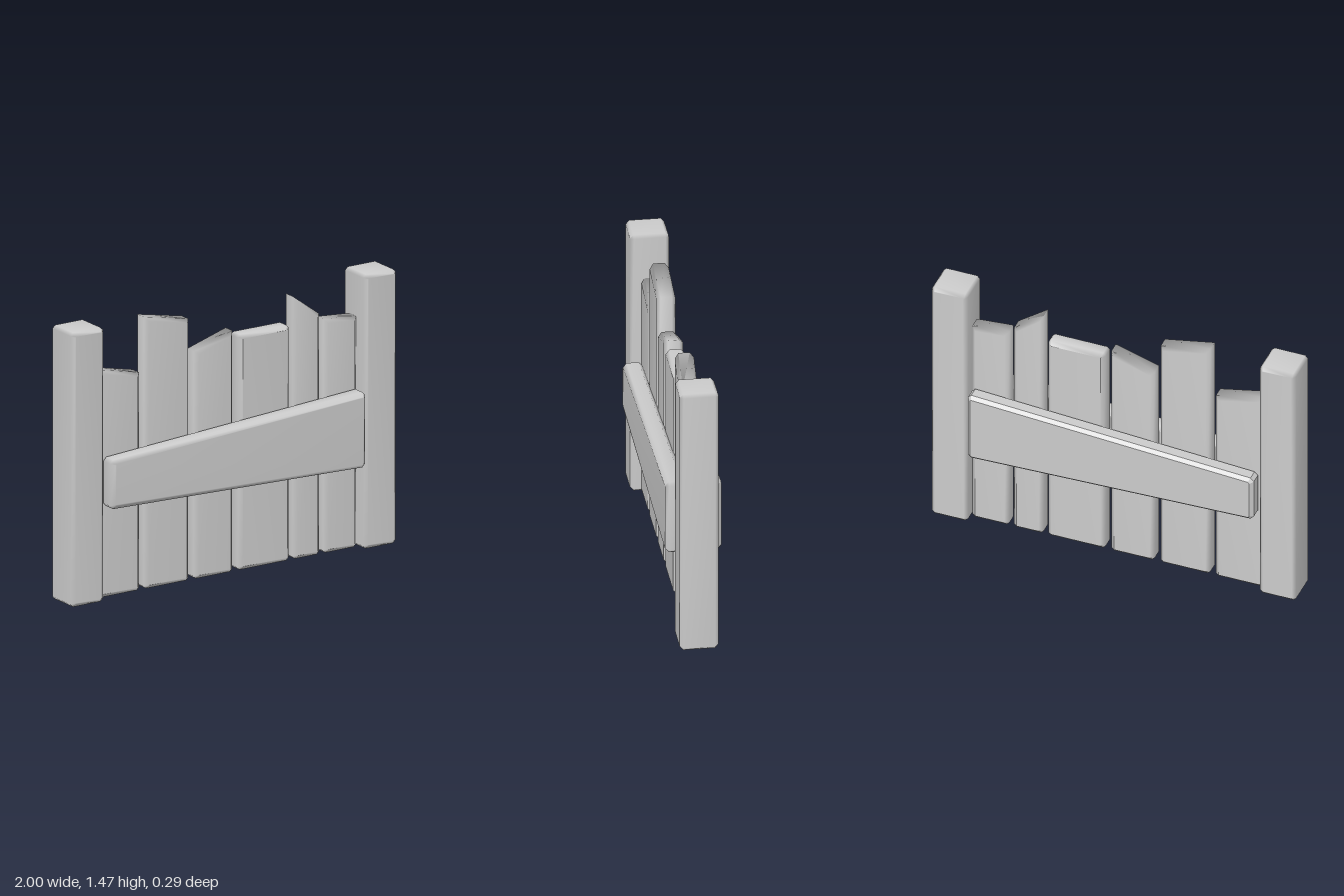
import * as THREE from 'three';
import { mergeVertices } from 'three/addons/utils/BufferGeometryUtils.js';

const wood = new THREE.MeshStandardMaterial({ color: 0xcccccc });
const flatWood = new THREE.MeshStandardMaterial({ color: 0xcccccc, flatShading: true });

// Chamfered board: corners run counter-clockwise as [x, y, cornerCut]
function board(name, corners, z0, z1, bevel, material = wood) {
  const points = [];
  corners.forEach(([x, y, cut], i) => {
    const p = new THREE.Vector2(x, y);
    if (!cut) return points.push(p);
    for (const step of [-1, 1]) {
      const [nx, ny] = corners[(i + step + corners.length) % corners.length];
      const dir = new THREE.Vector2(nx - x, ny - y).normalize();
      points.push(p.clone().addScaledVector(dir, cut));
    }
  });
  let geometry = new THREE.ExtrudeGeometry(new THREE.Shape(points), {
    depth: z1 - z0 - 2 * bevel,
    bevelEnabled: true,
    bevelSegments: 1,
    bevelSize: bevel,
    bevelThickness: bevel,
    bevelOffset: -bevel,
  });
  geometry.translate(0, 0, z0 + bevel);
  // Weld the corners so the normals run smoothly over the chamfers
  geometry.deleteAttribute('normal');
  geometry.deleteAttribute('uv');
  geometry = mergeVertices(geometry, 1e-4);
  geometry.computeVertexNormals();
  const mesh = new THREE.Mesh(geometry, material);
  mesh.name = name;
  return mesh;
}

export function createModel() {
  const fence = new THREE.Group();
  fence.name = 'fence';

  // End posts
  for (const [name, x] of [['rightPost', -0.9], ['leftPost', 0.9]]) {
    const c = 0.016;
    fence.add(board(name, [
      [x - 0.1, 0, c], [x + 0.1, 0, c], [x + 0.1, 1.465, c], [x - 0.1, 1.465, c],
    ], -0.1, 0.1, 0.018));
  }

  // Upright planks: x start, x end, top height at each side, top corner cut
  const planks = [
    [-0.805, -0.54, 1.222, 1.163, 0],
    [-0.51, -0.237, 1.453, 1.397, 0],
    [-0.204, 0.033, 1.216, 1.287, 0],
    [0.065, 0.38, 1.258, 1.258, 0.014],
    [0.405, 0.567, 1.405, 1.285, 0],
    [0.593, 0.795, 1.25, 1.233, 0],
  ];
  planks.forEach(([x0, x1, y0, y1, cut], i) => {
    fence.add(board(`plank${i + 1}`, [
      [x0, 0, 0.014], [x1, 0, 0.014], [x1, y1, cut], [x0, y0, cut],
    ], -0.054, 0.045, 0.02));
  });

  // Tapered cross rails, front and back
  const rail = [
    [-0.784, 0.497, 0.018], [0.784, 0.453, 0.018], [0.784, 0.857, 0.018], [-0.784, 0.758, 0.018],
  ];
  fence.add(board('frontRail', rail, 0.042, 0.145, 0.02));
  fence.add(board('backRail', rail, -0.145, -0.052, 0.018, flatWood));

  return fence;
}
